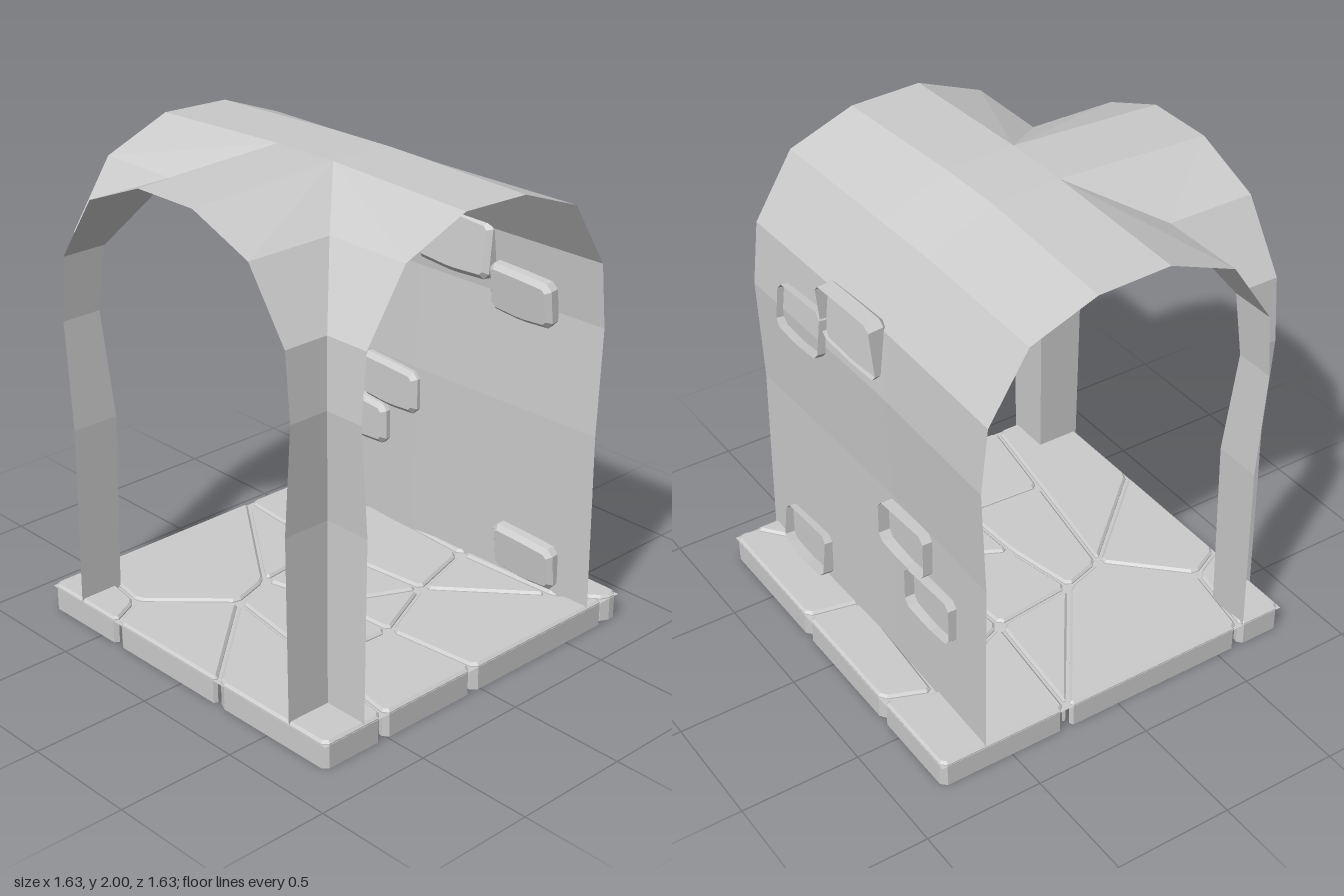
import * as THREE from 'three';

// Every part is an open sheet or an open-backed shell
const material = new THREE.MeshStandardMaterial({ color: 0xcccccc, flatShading: true, side: THREE.DoubleSide });

const EDGE = 0.817;

function named(geometry, name) {
  const mesh = new THREE.Mesh(geometry, material);
  mesh.name = name;
  return mesh;
}

function fromTriangles(pos) {
  const g = new THREE.BufferGeometry();
  g.setAttribute('position', new THREE.Float32BufferAttribute(pos, 3));
  g.computeVertexNormals();
  return g;
}

// Faceted sheet through rows of equally many [x, y, z] points
function sheet(rows) {
  const pos = [];
  for (let i = 0; i + 1 < rows.length; i++) {
    for (let j = 0; j + 1 < rows[i].length; j++) {
      const a = rows[i][j], b = rows[i][j + 1], c = rows[i + 1][j + 1], d = rows[i + 1][j];
      pos.push(...a, ...b, ...c, ...a, ...c, ...d);
    }
  }
  return fromTriangles(pos);
}

// Moves every edge of a counter-clockwise polygon inwards by d
function inset(poly, d) {
  const n = poly.length;
  return poly.map((p, i) => {
    const e0 = p.clone().sub(poly[(i + n - 1) % n]).normalize();
    const e1 = poly[(i + 1) % n].clone().sub(p).normalize();
    const n0 = new THREE.Vector2(-e0.y, e0.x), n1 = new THREE.Vector2(-e1.y, e1.x);
    return p.clone().addScaledVector(n0.clone().add(n1), d / (1 + n0.dot(n1)));
  });
}

// Cuts each corner of a polygon
function chamfer(poly, c) {
  const n = poly.length;
  return poly.flatMap((p, i) => [poly[(i + n - 1) % n], poly[(i + 1) % n]].map((q) =>
    p.clone().lerp(q, Math.min(0.3, c / p.distanceTo(q)))));
}

// Bevelled stone with an open back, outline in xy, rising along +z
function stone(points, { gap = 0, corner, bevel, height }) {
  let poly = points.map(([x, y]) => new THREE.Vector2(x, y));
  if (THREE.ShapeUtils.isClockWise(poly)) poly.reverse();
  poly = chamfer(inset(poly, gap), corner);
  const top = inset(poly, bevel);
  const ring = (pts, z) => [...pts, pts[0]].map((p) => [p.x, p.y, z]);
  const rings = [ring(poly, 0), ring(poly, height - bevel), ring(top, height)];
  const pos = [...sheet(rings).attributes.position.array];
  for (const face of THREE.ShapeUtils.triangulateShape(top, [])) {
    for (const k of face) pos.push(top[k].x, top[k].y, height);
  }
  return fromTriangles(pos);
}

// Half arch: distance from the centre line, height
const ARCH = [[0.15, 2], [0.44, 1.86], [0.622, 1.59], [0.645, 1.32], [0.612, 0.87], [0.622, 0.1]];
const BACK = [[0.15, 1.99], [0.43, 1.86], [0.598, 1.59], [0.628, 1.32], [0.608, 0.87], [0.615, 0.1]];
// Columns of the rear wall with their slight bulge in z
const COLUMNS = [[-EDGE, -0.008], [-0.15, 0.008], [0.15, 0.004], [EDGE, -0.006]];

// The crown sinks a little towards the open ends
const outerY = (y) => (y > 1.95 ? y - 0.025 : y);

function buildVault() {
  const vault = new THREE.Group();
  vault.name = 'vault';

  // Rear wall curving up into the crown
  const rearRows = [...BACK].reverse().map(([w, y]) => COLUMNS.map(([x, bulge]) =>
    [x, Math.abs(x) === EDGE ? outerY(y) : y, bulge - w]));
  rearRows.push(COLUMNS.map(([x]) => [x, Math.abs(x) === EDGE ? outerY(2) : 2, 0.15]));
  vault.add(named(sheet(rearRows), 'backWall'));

  // Front arch with the inner sides of both posts
  const across = [
    ...[...ARCH].reverse().map(([w, y]) => [-1, w, y]),
    ...ARCH.map(([w, y]) => [1, w, y]),
  ];
  vault.add(named(sheet(across.map(([s, w, y]) =>
    [[s * w, y, w], [s * w, outerY(y), EDGE]])), 'frontArch'));

  // Front halves of the side arches, with the front faces of the posts
  for (const s of [-1, 1]) {
    vault.add(named(sheet(ARCH.map(([w, y]) =>
      [[s * w, y, w], [s * EDGE, outerY(y), w]])), s > 0 ? 'leftArch' : 'rightArch'));
  }
  return vault;
}

// Seam corners of the paving as [x, z]; the rim R allows for the half gap
const R = EDGE + 0.005;
const NODES = {
  A: [-R, R], B: [R, R], C: [R, -R], D: [-R, -R],
  f1: [-0.39, R], f2: [0.23, R],
  r1: [R, 0.52], r2: [R, 0.04], r3: [R, -0.74],
  b1: [0.2, -R], b2: [-0.38, -R], l1: [-R, -0.25], l2: [-R, 0.6],
  j: [-0.47, 0.66], i1: [-0.18, 0.36], i3: [0.38, 0.45], i4: [0.4, 0.08], i5: [0.08, 0.1],
  i6: [-0.24, 0.17], i7: [-0.46, -0.62], i8: [0.15, -0.58], i9: [0.65, -0.6],
  i10: [0.25, -0.25], i11: [-0.28, -0.2],
};
const PAVING = [
  'A f1 j l2', 'f1 f2 i1 j', 'l2 j i1 i6 l1', 'l1 i6 i11', 'f2 B r1 i3 i1',
  'r1 r2 i4 i3', 'i1 i3 i4 i5 i6', 'i6 i5 i10 i11', 'i5 i4 i10', 'i4 r2 r3 i9 i10',
  'l1 i11 i7 b2 D', 'b2 b1 i8 i7', 'i7 i11 i10 i8', 'i8 i10 i9', 'b1 C r3 i9 i8',
];

function buildFloor() {
  const floor = new THREE.Group();
  floor.name = 'floor';
  for (const ids of PAVING) {
    const outline = ids.split(' ').map((id) => [NODES[id][0], -NODES[id][1]]);
    const g = stone(outline, { gap: 0.007, corner: 0.022, bevel: 0.01, height: 0.115 });
    g.rotateX(-Math.PI / 2);
    floor.add(named(g, 'pavingStone'));
  }
  // Mortar bed between the stones
  const bed = new THREE.PlaneGeometry(2 * EDGE, 2 * EDGE).rotateX(-Math.PI / 2).translate(0, 0.1, 0);
  floor.add(named(bed, 'mortar'));
  return floor;
}

// Bricks in the wall: centre x, y, width, height, z of the open back, tilt
const BRICKS = [
  [0.08, 1.495, 0.39, 0.265, -0.645, -0.1],
  [0.43, 1.36, 0.32, 0.215, -0.655, 0.1],
  [-0.28, 0.76, 0.32, 0.215, -0.65, 0],
  [-0.455, 0.56, 0.31, 0.21, -0.65, 0],
  [0.495, 0.235, 0.32, 0.215, -0.655, 0.1],
];

function buildBricks() {
  const bricks = new THREE.Group();
  bricks.name = 'wallBricks';
  for (const [x, y, w, h, z, tilt] of BRICKS) {
    const a = w / 2, b = h / 2;
    const outline = [[-a, -b + 0.015], [0, -b], [a, -b + 0.01], [a, b - 0.02], [0, b - 0.008], [-a, b]];
    const brick = named(stone(outline, { corner: 0.025, bevel: 0.02, height: 0.085 }), 'brick');
    brick.position.set(x, y, z);
    brick.rotation.x = tilt;
    bricks.add(brick);
  }
  return bricks;
}

export function createModel() {
  const model = new THREE.Group();
  model.name = 'vaultedPassage';
  model.add(buildVault(), buildFloor(), buildBricks());
  return model;
}
